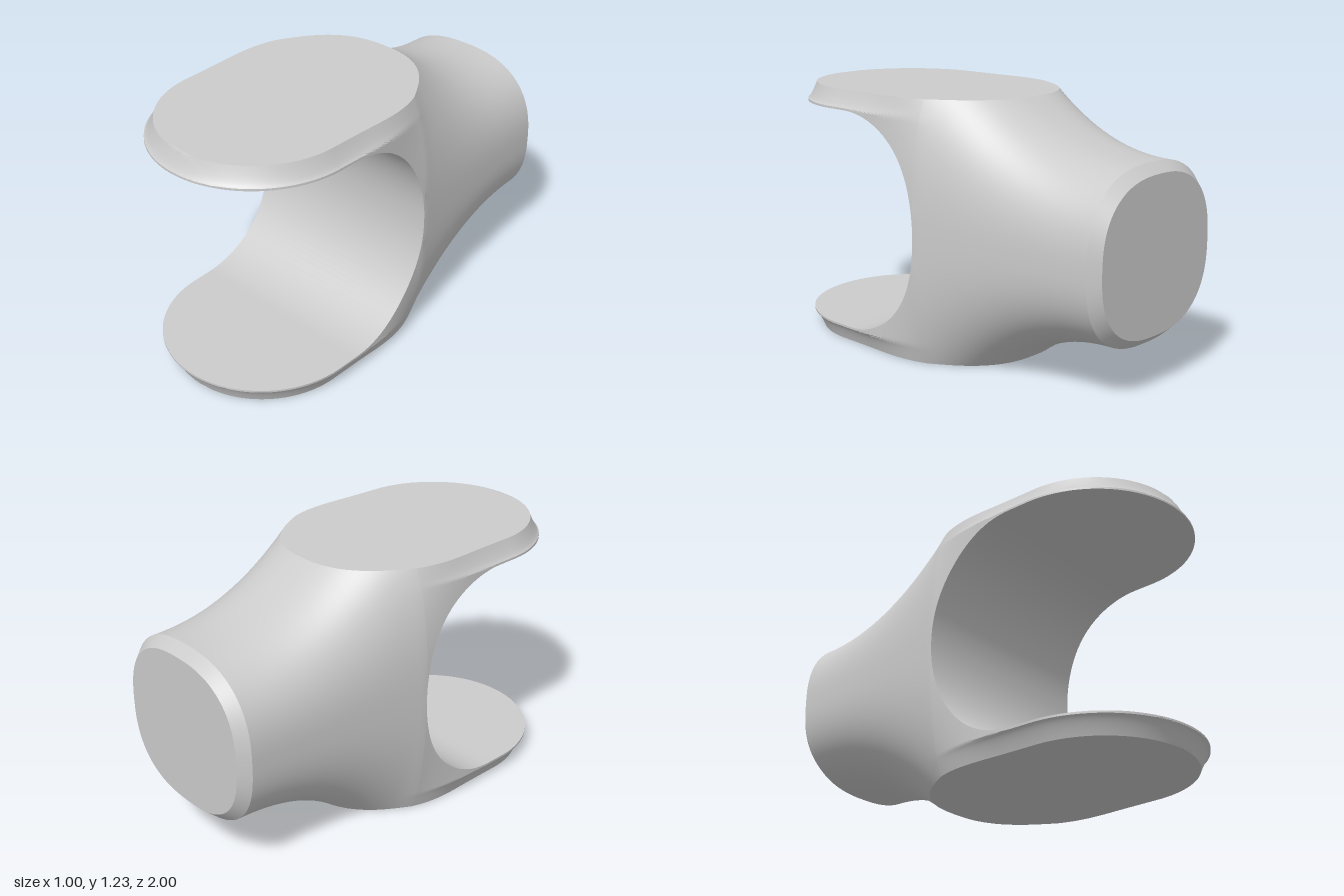
import * as THREE from 'three';
import { toCreasedNormals } from 'three/addons/utils/BufferGeometryUtils.js';

const MID = 0.615;       // half height; the fork is symmetric about this level
const CROTCH = -0.025;   // z where the opening starts
const TIP = 0.515;       // centre of the rounded tips
const N = 28;            // points up one side of a section
const EXP = 2.5;         // squareness of the neck section

// Height of the flaring neck (continues as a virtual height inside the fork)
const neckHeight = z => 0.4 + 0.215 * Math.pow(Math.max(0, (z + 0.95) / 0.63), 2.2);

// Greatest half width at z
const halfWidth = z => z < CROTCH
  ? 0.425 + 0.075 * Math.pow(Math.max(0, (z + 1) / 0.975), 1.8)
  : 0.5 - 0.015 * Math.min(1, (z - CROTCH) / (TIP - CROTCH));

// Inner face of the opening, measured from the middle level
function innerHeight(z) {
  if (z <= CROTCH) return 0;
  if (z >= 0.43) return 0.525;
  return 0.525 * Math.pow(Math.max(0, 1 - Math.pow((0.43 - z) / 0.455, 2.1)), 1 / 2.1);
}

// Top of the section, dropping along the bevel at the very tip
function topHeight(z) {
  const u = Math.pow(Math.max(0, Math.min(1, (1 - z) / 0.045)), 1 / 0.7);
  return Math.min(MID, neckHeight(z), 0.535 + 0.08 * u);
}

// Half width at height d above the middle
function widthAt(z, d) {
  const neck = halfWidth(z) * Math.pow(Math.max(0, 1 - Math.pow(d / neckHeight(z), EXP)), 1 / EXP);
  const u = Math.max(0, Math.min(1, (d - 0.535) / 0.08));
  const r = halfWidth(z) - 0.045 * Math.pow(u, 0.7);
  const dz = Math.max(0, z - TIP);
  const arm = Math.sqrt(Math.max(0, r * r - dz * dz));
  return THREE.MathUtils.lerp(neck, arm, THREE.MathUtils.smoothstep(z, -0.12, 0.36));
}

// Section ring of the upper half: up the +x side, down the -x side
function section(z) {
  const lo = innerHeight(z), hi = topHeight(z), right = [];
  for (let k = 0; k <= N; k++) {
    const d = lo + (hi - lo) * Math.sin((Math.PI / 2) * k / N);
    right.push(new THREE.Vector3(widthAt(z, d), d, z));
  }
  const left = right.map(p => new THREE.Vector3(-p.x, p.y, p.z)).reverse();
  return [...right, ...left];
}

// Stations along z, closer together where the outline turns quickly
function stations() {
  const zs = [];
  const span = (a, b, n, ease) => {
    for (let i = 0; i < n; i++) zs.push(a + (b - a) * ease(i / n));
  };
  span(-0.95, -0.32, 20, t => t);
  span(-0.32, CROTCH, 14, t => t * t);
  span(CROTCH, 0.43, 28, t => 1 - Math.cos(t * Math.PI / 2));
  span(0.43, TIP, 3, t => t);
  span(TIP, 1, 40, t => Math.sin(t * Math.PI / 2));
  zs.push(1);
  return zs;
}

function forkGeometry() {
  const rings = stations().map(section);
  // Bevelled rear end
  rings.unshift(rings[0].map(p => new THREE.Vector3(p.x * 0.9, p.y * 0.89, -1)));

  const pos = [];
  const tri = new THREE.Triangle();
  const face = (a, b, c) => {
    if (tri.set(a, b, c).getArea() < 1e-9) return;
    for (const p of [a, b, c]) pos.push(p.x, p.y, p.z);
    for (const p of [a, c, b]) pos.push(p.x, -p.y, p.z);   // mirrored lower half
  };
  const quad = (a, b, c, d) => { face(a, b, c); face(a, c, d); };

  const M = 2 * N + 2;
  for (let j = 0; j < rings.length - 1; j++) {
    const a = rings[j], b = rings[j + 1];
    // The last side closes the section and forms the inside of the opening
    const sides = a[0].z >= CROTCH - 1e-6 ? M : M - 1;
    for (let i = 0; i < sides; i++) {
      const n = (i + 1) % M;
      quad(a[i], a[n], b[n], b[i]);
    }
  }
  // Flat rear face
  const e = rings[0];
  for (let k = 0; k < N; k++) quad(e[k], e[M - 1 - k], e[M - 2 - k], e[k + 1]);

  const geo = new THREE.BufferGeometry();
  geo.setAttribute('position', new THREE.Float32BufferAttribute(pos, 3));
  // Enlarged while creasing so that close points stay distinct
  geo.scale(50, 50, 50);
  const smooth = toCreasedNormals(geo, 0.5);
  smooth.scale(0.02, 0.02, 0.02);
  return smooth;
}

export function createModel() {
  const group = new THREE.Group();
  group.name = 'forkEnd';
  const fork = new THREE.Mesh(forkGeometry(), new THREE.MeshStandardMaterial({ color: 0xcccccc }));
  fork.name = 'forkBody';
  fork.position.y = MID;
  group.add(fork);
  return group;
}
